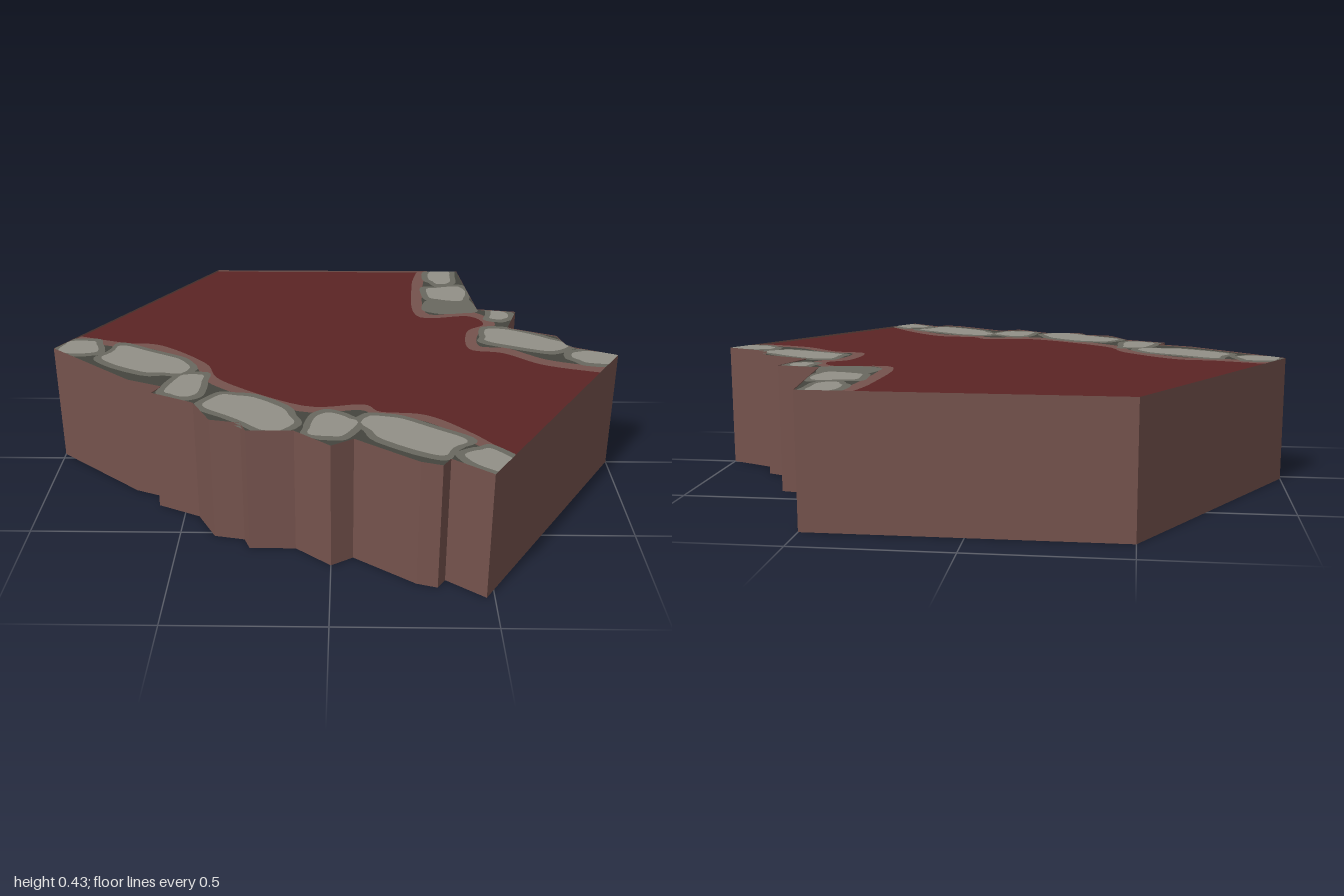
import * as THREE from 'three';
import { mergeGeometries } from 'three/addons/utils/BufferGeometryUtils.js';

const HEIGHT = 0.43, STEP = 0.0015;

// x, z pairs in hundredths of a unit
const points = (pairs) => pairs.map(([x, z]) => new THREE.Vector2(x / 100, z / 100));

// Tile outline, clockwise from above: back edge, right notch, front corner, ragged front edge
const OUTLINE = points([
  [-50, -86], [50, -86], [54.5, -43], [69, -40.5], [64, -24.5], [81, -17], [83.5, -7.5], [100, 0],
  [47.5, 85], [35.5, 76], [33, 80], [26.5, 78], [7, 64], [0, 68.5], [-11.5, 59], [-26.5, 59],
  [-28.5, 54], [-38.5, 52], [-45, 40], [-59.5, 33], [-57, 28], [-69, 23], [-100, -3],
]);

// Each rocky edge: its inner limit, and the outline that closes it
const EDGES = [
  {
    limit: points([[-95, -11], [-77, -5], [-64, -3], [-48, 11], [-40, 26], [-11, 45], [9, 44],
      [14, 49], [28, 51], [40, 62], [52, 78]]),
    rim: OUTLINE.slice(8),
  },
  {
    limit: points([[94, 10], [75, 4], [62, -6], [52, -8], [53, -20], [60, -29], [52, -41],
      [35, -39], [35, -69], [38, -86]]),
    rim: OUTLINE.slice(1, 8),
  },
];

// Stones: centre x, z, half length, half width (hundredths), turn in degrees
const STONES = [
  [-91, -4, 7, 6, 0], [-66, 7, 17, 8, 28], [-49, 27, 9, 5.5, 100], [-26, 46, 17, 8, 38],
  [0, 55, 7, 8, 20], [25, 61, 17, 8, 35], [47, 76, 7, 5.5, 45], [42.5, -79, 8, 4.7, 90],
  [44, -60, 8, 8, 0], [62, -37, 4.5, 3.5, 100], [68, -13, 16, 7, 27], [92, 2, 8, 5.5, 10],
];
const LOW_STONE = [44, -48, 8, 8, 0];

const outlineEdges = OUTLINE.map((a, i) => [a, OUTLINE[(i + 1) % OUTLINE.length]]);

// Points beyond the outline slide back to its nearest edge
function keepInside(p) {
  let inside = false, best = null;
  for (const [a, b] of outlineEdges) {
    if ((a.y > p.y) !== (b.y > p.y) && p.x < a.x + ((p.y - a.y) * (b.x - a.x)) / (b.y - a.y)) inside = !inside;
    const edge = b.clone().sub(a);
    const t = THREE.MathUtils.clamp(p.clone().sub(a).dot(edge) / edge.lengthSq(), 0, 1);
    const q = a.clone().addScaledVector(edge, t);
    if (!best || q.distanceTo(p) < best.distanceTo(p)) best = q;
  }
  return inside ? p : best;
}

// Band between the outline and its smoothed inner limit, widened towards the ground
function band({ limit, rim }, widen) {
  const moved = limit.map((p, i) => {
    const t = limit[Math.min(i + 1, limit.length - 1)].clone().sub(limit[Math.max(i - 1, 0)]).normalize();
    return new THREE.Vector2(p.x + t.y * widen, p.y - t.x * widen);
  });
  return [...new THREE.SplineCurve(moved).getPoints(60).map(keepInside), ...rim];
}

// Rounded, slightly lumpy stone patch
function stone([x, z, length, width, turn], seed, extra) {
  const centre = new THREE.Vector2(x / 100, z / 100);
  const soften = (v) => Math.sign(v) * Math.abs(v) ** 0.65;
  return Array.from({ length: 36 }, (_, i) => {
    const t = (i / 36) * Math.PI * 2;
    const lump = 0.96 + 0.08 * Math.sin(3 * t + seed * 2.1) + 0.05 * Math.sin(5 * t + seed);
    const p = new THREE.Vector2(
      soften(Math.cos(t)) * (length / 100 + extra),
      soften(Math.sin(t)) * (width / 100 + extra),
    ).multiplyScalar(lump);
    return keepInside(p.rotateAround(new THREE.Vector2(), THREE.MathUtils.degToRad(turn)).add(centre));
  });
}

const flat = (pts, y) => new THREE.ShapeGeometry(new THREE.Shape(pts.map((p) => new THREE.Vector2(p.x, -p.y))))
  .rotateX(-Math.PI / 2).translate(0, y, 0);

export function createModel() {
  const group = new THREE.Group();
  const paint = (name, color) => {
    const material = new THREE.MeshStandardMaterial({ color, side: THREE.DoubleSide });
    material.name = name;
    return material;
  };
  const soil = paint('brown soil', 0x75534d);
  const red = paint('dark red ground', 0x5b2424);
  const dark = paint('dark stone', 0x45453e);
  const mid = paint('grey stone', 0x69685f);
  const pale = paint('pale stone', 0x929087);

  const add = (name, geometry, material) => {
    const mesh = new THREE.Mesh(geometry, material);
    mesh.name = name;
    group.add(mesh);
  };

  // Paint layers are stacked on both faces of the hollow tile's top
  const middle = HEIGHT - 4 * STEP;
  const addLayer = (name, level, loops, material) => {
    const sides = level ? [1, -1] : [0];
    add(name, mergeGeometries(sides.flatMap((s) => loops.map((l) => flat(l, middle + s * level * STEP)))), material);
  };

  // Outer walls, open below
  const corners = outlineEdges.flatMap(([a, b]) => [
    a.x, 0, a.y, a.x, HEIGHT, a.y, b.x, HEIGHT, b.y,
    a.x, 0, a.y, b.x, HEIGHT, b.y, b.x, 0, b.y,
  ]);
  const walls = new THREE.BufferGeometry();
  walls.setAttribute('position', new THREE.Float32BufferAttribute(corners, 3));
  walls.computeVertexNormals();
  add('outerWalls', walls, soil);

  // Ground, soil margins and rocky edges
  addLayer('ground', 0, [OUTLINE], red);
  addLayer('soilMargins', 1, EDGES.map((e) => band(e, 0.045)), soil);
  addLayer('rockyEdges', 2, EDGES.map((e) => band(e, 0)), dark);
  addLayer('stoneRims', 3, [...STONES, LOW_STONE].map((s, i) => stone(s, i, 0.025)), mid);
  addLayer('stoneFaces', 4, STONES.map((s, i) => stone(s, i, 0)), pale);
  return group;
}
